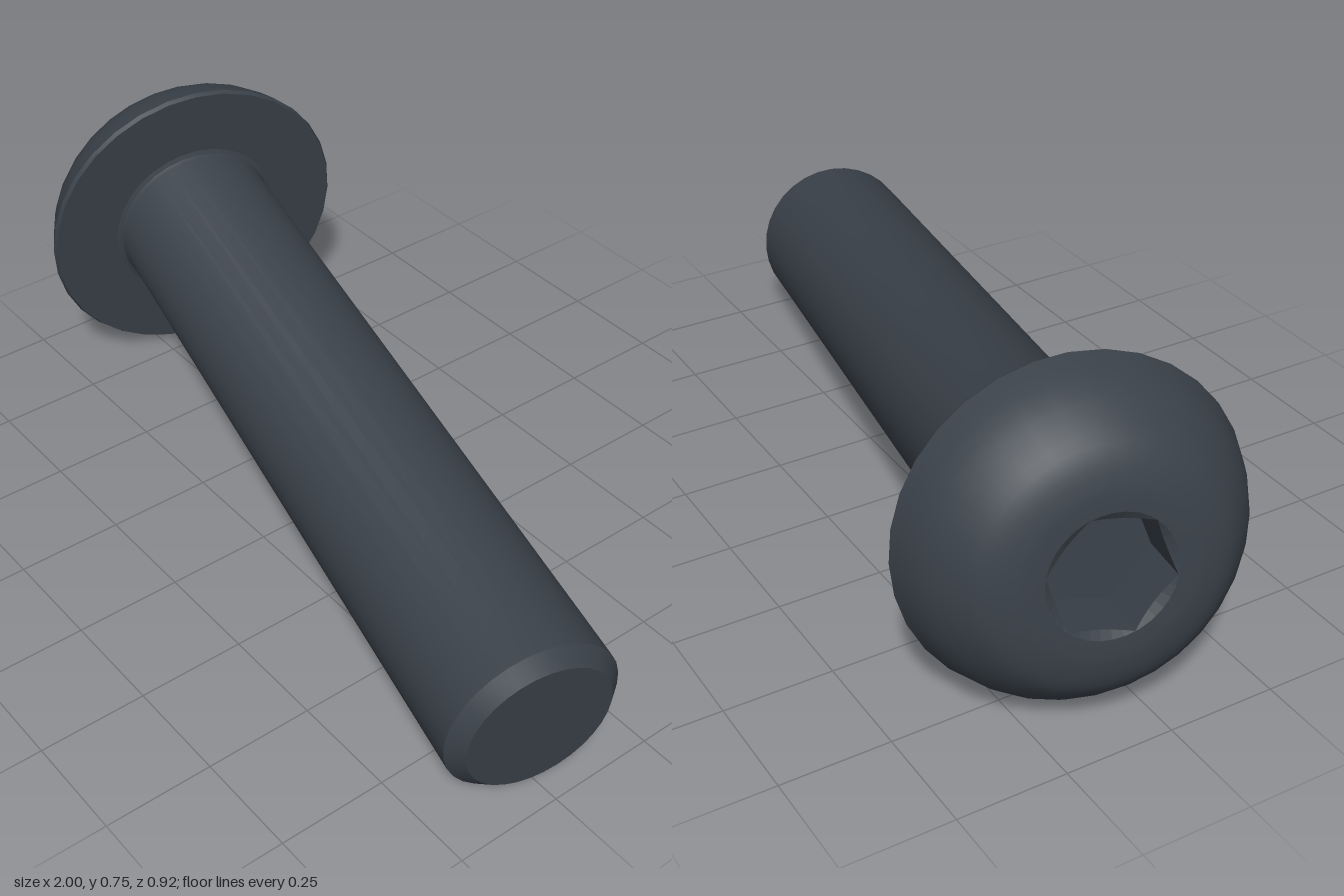
import * as THREE from 'three';
import { toCreasedNormals } from 'three/addons/utils/BufferGeometryUtils.js';

const SEGMENTS = 32;
const HEIGHT = 0.218; // head height
const RIM = 0.138; // radius of the socket opening

// Revolved part with sharp edges kept
function turned(name, points, material) {
  const geometry = new THREE.LatheGeometry(points, SEGMENTS);
  const mesh = new THREE.Mesh(toCreasedNormals(geometry, 0.6), material);
  mesh.name = name;
  return mesh;
}

const p = (r, y) => new THREE.Vector2(r, y);

// Hexagonal recess: round opening, conical lead-in, six walls, flat floor
function socketGeometry() {
  const n = 36, turn = 0.91, apothem = 0.119, depth = 0.13;
  const ring = (radius, height) => Array.from({ length: n }, (_, i) => {
    const a = (i / n) * Math.PI * 2;
    const local = (a % (Math.PI / 3)) - Math.PI / 6;
    const r = radius(local);
    return [r * Math.cos(a + turn), height(r), r * Math.sin(a + turn)];
  });
  const hex = (a) => apothem / Math.cos(a);
  const rings = [
    ring(() => RIM, () => HEIGHT),
    ring(hex, (r) => HEIGHT - (RIM - r) * 0.58),
    ring(hex, () => HEIGHT - depth),
    ring(() => 0, () => HEIGHT - depth),
  ];
  const positions = [];
  for (let k = 0; k < rings.length - 1; k++) {
    for (let i = 0; i < n; i++) {
      const j = (i + 1) % n;
      const [a, b, c, d] = [rings[k][i], rings[k + 1][i], rings[k][j], rings[k + 1][j]];
      positions.push(...a, ...b, ...c);
      if (k < 2) positions.push(...c, ...b, ...d);
    }
  }
  const geometry = new THREE.BufferGeometry();
  geometry.setAttribute('position', new THREE.Float32BufferAttribute(positions, 3));
  geometry.computeVertexNormals();
  return geometry;
}

export function createModel() {
  const steel = new THREE.MeshStandardMaterial({ color: 0x3a4149 });
  steel.name = 'dark steel';

  const bolt = new THREE.Group();
  bolt.name = 'bolt';

  // Shank with chamfered tip and a small fillet under the head
  bolt.add(turned('shank', [
    p(0, -1.753), p(0.165, -1.753), p(0.198, -1.72),
    p(0.198, -0.015), p(0.2024, -0.0044), p(0.213, 0),
  ], steel));

  // Domed button head
  const dome = new THREE.SplineCurve([
    p(0.378, 0.01), p(0.344, 0.097), p(0.284, 0.173), p(0.235, 0.204), p(0.18, HEIGHT),
  ]).getPoints(12);
  bolt.add(turned('head', [p(0.213, 0), p(0.373, 0), ...dome, p(RIM, HEIGHT)], steel));

  // Drive recess
  const socket = new THREE.Mesh(socketGeometry(), steel);
  socket.name = 'hexSocket';
  bolt.add(socket);

  // Lay the bolt down at its slant, head towards -x
  const headDirection = new THREE.Vector3(-0.9727, 0.1041, -0.2072).normalize();
  bolt.quaternion.setFromUnitVectors(new THREE.Vector3(0, 1, 0), headDirection);
  bolt.position.set(-0.743, 0.378, -0.089);

  const model = new THREE.Group();
  model.name = 'buttonHeadBolt';
  model.add(bolt);
  return model;
}
